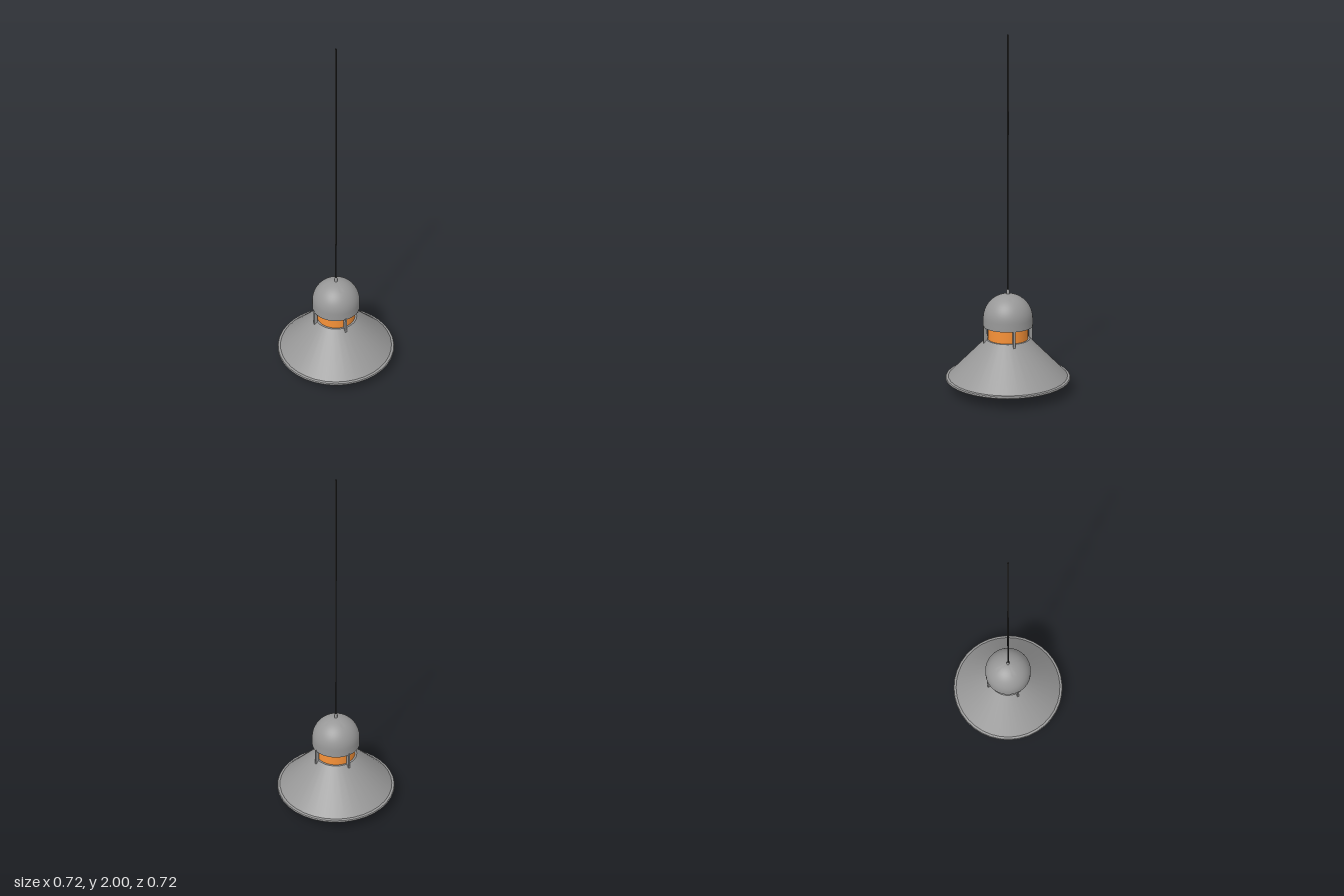
import * as THREE from 'three';
import { toCreasedNormals } from 'three/addons/utils/BufferGeometryUtils.js';

const paint = (color) => new THREE.MeshStandardMaterial({ color, side: THREE.DoubleSide });
const grey = paint(0x989898);
const dark = paint(0x333333);
const orange = paint(0xf89238);

// Points on a quarter circle around (0, cy), between two elevations
function arc(r, cy, from, to, steps = 14) {
  return Array.from({ length: steps + 1 }, (_, i) => {
    const a = THREE.MathUtils.degToRad(from + (to - from) * i / steps);
    return [Math.max(0, r * Math.cos(a)), cy + r * Math.sin(a)];
  });
}

function lathe(name, profile, material, segments = 48, start = 0) {
  const points = profile.map(([r, y]) => new THREE.Vector2(r, y));
  const geometry = new THREE.LatheGeometry(points, segments, start);
  const mesh = new THREE.Mesh(toCreasedNormals(geometry, 0.6), material);
  mesh.name = name;
  return mesh;
}

// Flat U-shaped bar of rectangular section
function cageBarGeometry(outer, inner, top, cy, thickness) {
  const shape = new THREE.Shape();
  shape.moveTo(-outer, top);
  shape.lineTo(-outer, cy);
  shape.absarc(0, cy, outer, Math.PI, 2 * Math.PI, false);
  shape.lineTo(outer, top);
  shape.lineTo(inner, top);
  shape.lineTo(inner, cy);
  shape.absarc(0, cy, inner, 2 * Math.PI, Math.PI, true);
  shape.lineTo(-inner, top);
  const geometry = new THREE.ExtrudeGeometry(shape, { depth: thickness, bevelEnabled: false, curveSegments: 28 });
  geometry.translate(0, 0, -thickness / 2);
  return toCreasedNormals(geometry, 0.6);
}

export function createModel() {
  const lamp = new THREE.Group();
  lamp.name = 'pendantLamp';

  // Hanging cord and its fitting on the cap
  lamp.add(lathe('cord', [[0, 0.56], [0.0045, 0.56], [0.0045, 2], [0, 2]], dark, 12));
  lamp.add(lathe('cordFitting', [[0, 0.55], [0.009, 0.55], [0.009, 0.578], [0.006, 0.584], [0, 0.584]], grey, 16));

  // Domed cap with a short straight skirt
  lamp.add(lathe('cap', [[0, 0.372], [0.142, 0.372], ...arc(0.142, 0.417, 0, 90)], grey));

  // Glass: straight tube ending in a hemisphere
  lamp.add(lathe('glass', [...arc(0.115, 0.145, -90, 0), [0.115, 0.38]], orange));

  // Conical shade with thin wall and a rolled rim
  lamp.add(lathe('shade', [
    [0.115, 0.297], [0.115, 0.289], [0.122, 0.285], [0.338, 0.067], [0.358, 0.067],
    [0.361, 0.072], [0.357, 0.078], [0.343, 0.08], [0.126, 0.297], [0.115, 0.297],
  ], grey, 36, THREE.MathUtils.degToRad(5)));

  // Cage: two crossed U-shaped bars hanging from the cap
  const barGeometry = cageBarGeometry(0.144, 0.123, 0.38, 0.144, 0.011);
  const cage = new THREE.Group();
  cage.name = 'cage';
  for (let i = 0; i < 2; i++) {
    const bar = new THREE.Mesh(barGeometry, grey);
    bar.name = 'cageBar';
    bar.rotation.y = i * Math.PI / 2;
    cage.add(bar);
  }
  lamp.add(cage);

  return lamp;
}
